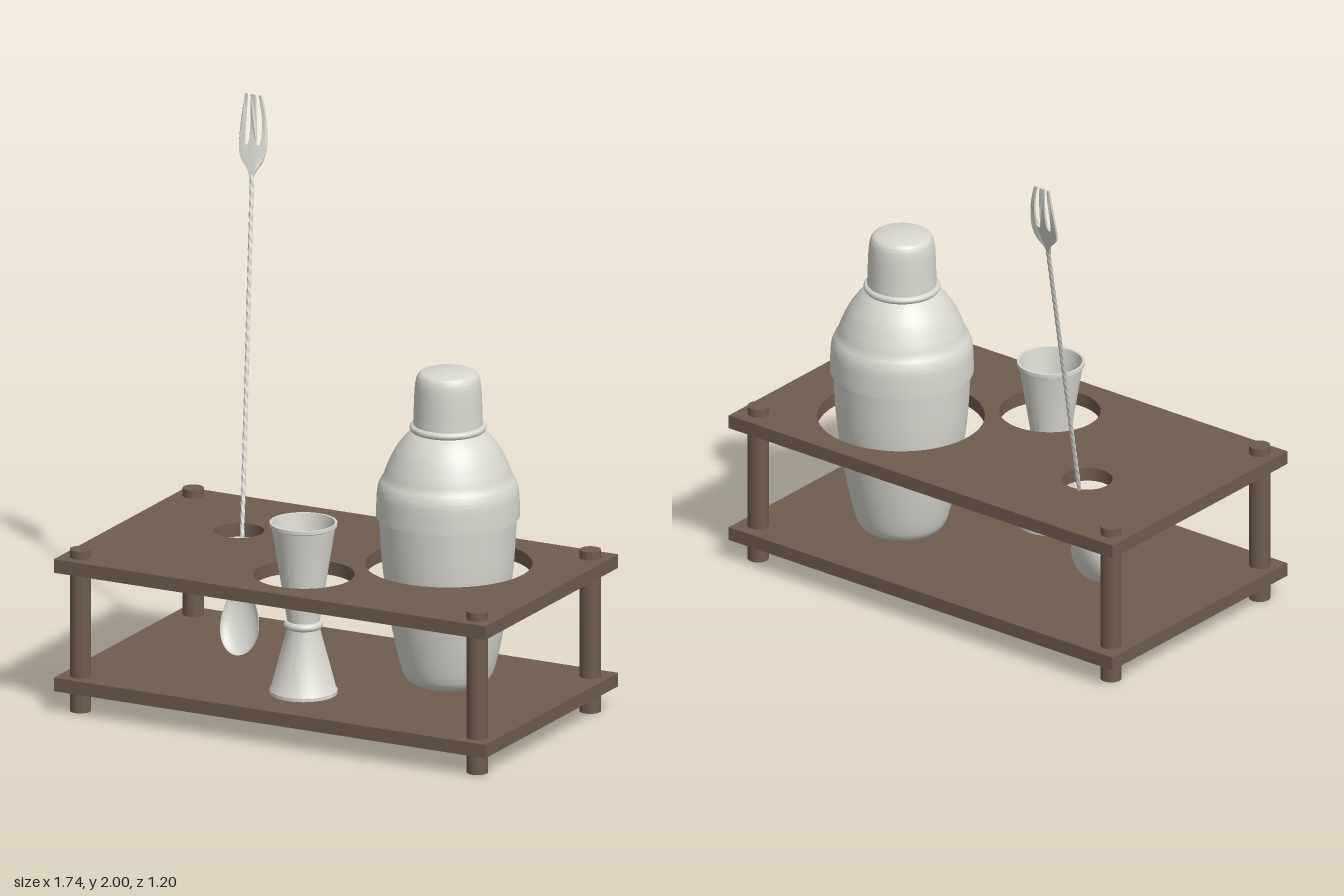
import * as THREE from 'three';
import { toCreasedNormals } from 'three/addons/utils/BufferGeometryUtils.js';

export function createModel() {
  const model = new THREE.Group();
  const wood = new THREE.MeshStandardMaterial({ color: 0x705c4d });
  wood.name = 'brown wood';
  const steel = new THREE.MeshStandardMaterial({ color: 0xd8d7cf, side: THREE.DoubleSide });
  steel.name = 'brushed steel';

  const add = (name, geometry, material, x = 0, y = 0, z = 0, parent = model) => {
    const mesh = new THREE.Mesh(geometry, material);
    mesh.name = name;
    mesh.position.set(x, y, z);
    parent.add(mesh);
    return mesh;
  };
  const group = (name) => {
    const g = new THREE.Group();
    g.name = name;
    model.add(g);
    return g;
  };
  const vecs = (pts) => pts.map(([a, b]) => new THREE.Vector2(a, b));
  const turned = (pts) => toCreasedNormals(new THREE.LatheGeometry(vecs(pts), 64), 0.6);
  const spline = (pts, n) => new THREE.SplineCurve(vecs(pts)).getPoints(n).map((p) => [p.x, p.y]);

  // Shelves: rectangular boards; the upper one has three round holes [x, z, radius]
  const board = (name, y, holes) => {
    const s = new THREE.Shape(vecs([[-0.87, -0.6], [0.87, -0.6], [0.87, 0.4], [-0.87, 0.4]]));
    for (const [x, z, r] of holes) {
      s.holes.push(new THREE.Path().absarc(x, -z, r, 0, Math.PI * 2, true));
    }
    const g = new THREE.ExtrudeGeometry(s, { depth: 0.05, bevelEnabled: false, curveSegments: 48 });
    g.rotateX(-Math.PI / 2);
    add(name, toCreasedNormals(g, 0.6), wood, 0, y, 0);
  };
  board('lowerShelf', 0.08, []);
  board('upperShelf', 0.52, [[0.39, -0.02, 0.298], [0, 0.34, 0.18], [-0.455, -0.02, 0.09]]);

  // Corner posts
  for (const x of [-0.8, 0.8]) {
    for (const z of [-0.32, 0.53]) {
      add('post', new THREE.CylinderGeometry(0.038, 0.038, 0.6, 32), wood, x, 0.3, z);
    }
  }

  // Shaker: tapered cup, stepped shoulder with neck ring, and lid
  const shaker = group('shaker');
  const sx = 0.39, sz = -0.015;
  add('shakerCup', turned([[0, 0.135], ...spline([[0.12, 0.132], [0.15, 0.152], [0.17, 0.2],
    [0.195, 0.31], [0.217, 0.44], [0.235, 0.58], [0.246, 0.76]], 40)]), steel, sx, 0, sz, shaker);
  add('shakerShoulder', turned([[0.244, 0.75], [0.256, 0.75],
    ...spline([[0.256, 0.76], [0.253, 0.84], [0.244, 0.875], [0.23, 0.9], [0.215, 0.94],
      [0.188, 0.995], [0.155, 1.04], [0.132, 1.062]], 40), [0.122, 1.07]]), steel, sx, 0, sz, shaker);
  add('neckRing', new THREE.TorusGeometry(0.124, 0.013, 12, 64).rotateX(Math.PI / 2),
    steel, sx, 1.078, sz, shaker);
  add('shakerLid', turned([[0.123, 1.07], [0.124, 1.1],
    ...spline([[0.123, 1.11], [0.12, 1.2], [0.115, 1.25], [0.104, 1.276], [0.08, 1.286]], 24),
    [0, 1.29]]), steel, sx, 0, sz, shaker);

  // Jigger: two cones meeting at a ringed waist, the upper cup hollow
  const jigger = group('jigger');
  add('jiggerCups', turned([[0, 0.15], [0.11, 0.132], [0.121, 0.132], [0.121, 0.145], [0.117, 0.15],
    [0.058, 0.375], [0.058, 0.4], [0.114, 0.748], [0.121, 0.752], [0.121, 0.765], [0.112, 0.765],
    [0.052, 0.41], [0, 0.41]]), steel, 0, 0, 0.345, jigger);
  add('waistRing', new THREE.TorusGeometry(0.056, 0.015, 12, 48).rotateX(Math.PI / 2),
    steel, 0, 0.387, 0.345, jigger);

  // Bar spoon: bowl, twisted stem and bent fork end
  const spoon = group('barSpoon');
  const bowl = new THREE.SphereGeometry(1, 40, 14, 0, Math.PI * 2, 0, Math.PI / 2).rotateX(-Math.PI / 2);
  const bp = bowl.attributes.position;
  for (let i = 0; i < bp.count; i++) {
    const y = bp.getY(i);
    bp.setXYZ(i, bp.getX(i) * 0.077 * (1 - 0.16 * y), y * 0.122, bp.getZ(i) * 0.04);
  }
  bowl.computeVertexNormals();
  bowl.rotateX(-0.34).rotateZ(0.14);
  add('spoonBowl', bowl, steel, -0.432, 0.247, 0.02, spoon);

  const low = new THREE.Vector3(-0.453, 0.345, -0.028);
  const high = new THREE.Vector3(-0.668, 1.725, -0.516);
  const axis = high.clone().sub(low);
  const stem = new THREE.BoxGeometry(0.012, axis.length(), 0.012, 1, 120, 1);
  const sp = stem.attributes.position;
  for (let i = 0; i < sp.count; i++) {
    const a = sp.getY(i) * 40, x = sp.getX(i), z = sp.getZ(i);
    sp.setX(i, x * Math.cos(a) - z * Math.sin(a));
    sp.setZ(i, x * Math.sin(a) + z * Math.cos(a));
  }
  stem.computeVertexNormals();
  const mid = low.clone().add(high).multiplyScalar(0.5);
  add('spoonStem', stem, steel, mid.x, mid.y, mid.z, spoon)
    .quaternion.setFromUnitVectors(new THREE.Vector3(0, 1, 0), axis.normalize());

  // Fork outline: left side, two slots, right side; then bent backwards along its height
  const outline = [
    ...spline([[-0.673, 1.7], [-0.69, 1.74], [-0.725, 1.775], [-0.742, 1.82], [-0.746, 1.91], [-0.738, 2]], 24),
    ...spline([[-0.729, 2], [-0.73, 1.92], [-0.724, 1.84], [-0.714, 1.822], [-0.705, 1.84], [-0.709, 1.92], [-0.716, 2]], 28),
    ...spline([[-0.697, 2], [-0.689, 1.92], [-0.677, 1.84], [-0.666, 1.825], [-0.657, 1.84], [-0.664, 1.92], [-0.683, 2]], 28),
    ...spline([[-0.672, 2], [-0.65, 1.92], [-0.635, 1.84], [-0.634, 1.8], [-0.642, 1.765], [-0.66, 1.735], [-0.665, 1.7]], 24),
  ];
  const fork = new THREE.ExtrudeGeometry(new THREE.Shape(vecs(outline)),
    { depth: 0.009, bevelEnabled: false });
  const fp = fork.attributes.position;
  for (let i = 0; i < fp.count; i++) {
    const t = Math.min(1, (fp.getY(i) - 1.7) / 0.3);
    fp.setZ(i, fp.getZ(i) - 0.513 - 0.087 * (1 - Math.pow(1 - t, 1.7)));
  }
  add('forkEnd', toCreasedNormals(fork, 0.6), steel, 0, 0, 0, spoon);

  return model;
}
